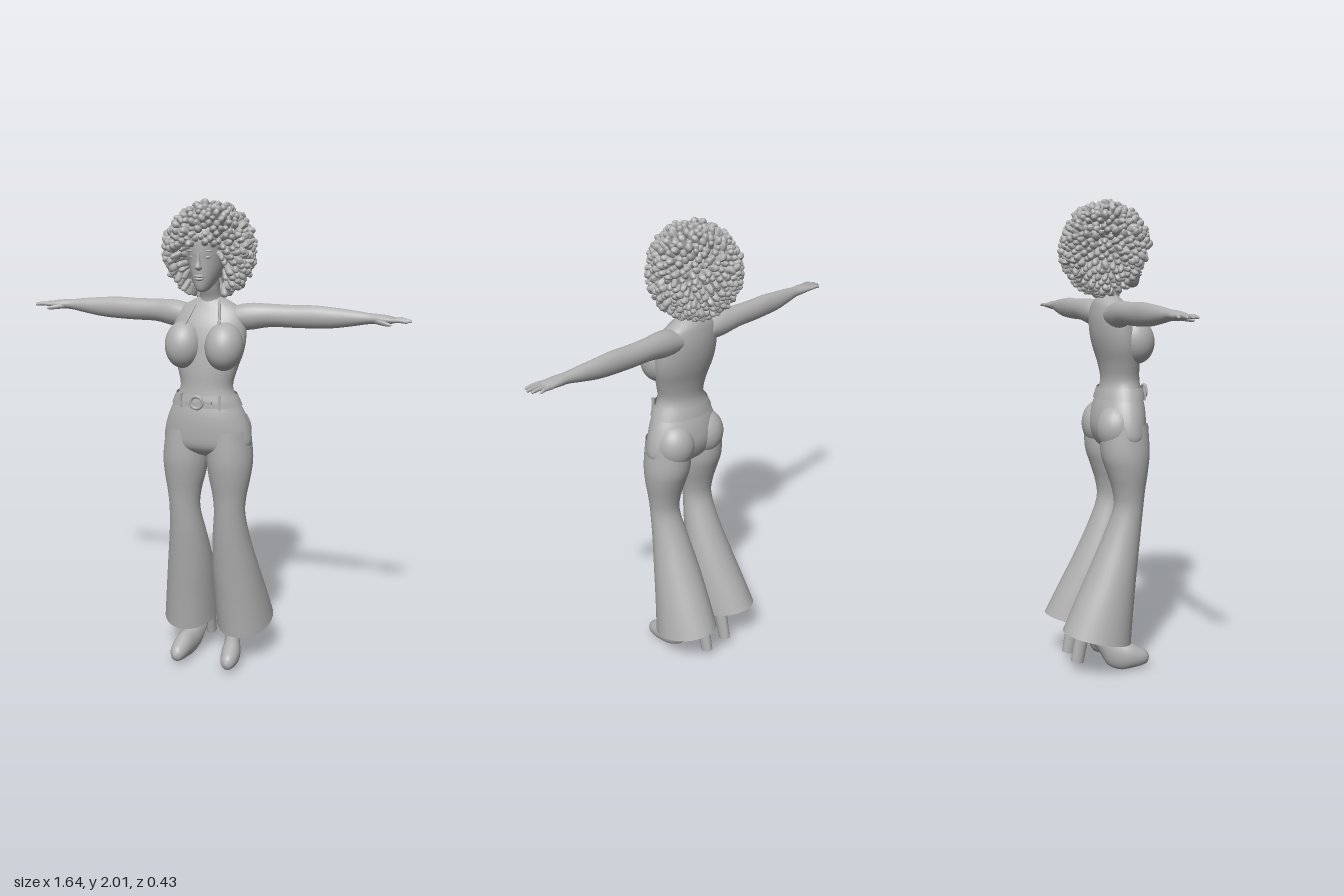
import * as THREE from 'three';
import { mergeGeometries } from 'three/addons/utils/BufferGeometryUtils.js';

// Smooth skin over elliptical sections; each section is [centre, u axis, v axis].
function loft(sections, sides = 28, perSpan = 4) {
  const curves = [0, 1, 2].map(k => new THREE.CatmullRomCurve3(
    sections.map(s => new THREE.Vector3(...s[k])), false, 'catmullrom', 0.5));
  const steps = (sections.length - 1) * perSpan;
  const pos = [], idx = [];
  for (let i = 0; i <= steps; i++) {
    const [c, u, v] = curves.map(k => k.getPoint(i / steps));
    for (let j = 0; j < sides; j++) {
      const a = j / sides * Math.PI * 2;
      const p = c.clone().addScaledVector(u, Math.cos(a)).addScaledVector(v, Math.sin(a));
      pos.push(p.x, p.y, p.z);
      if (i === steps) continue;
      const n = i * sides + (j + 1) % sides, q = i * sides + j;
      idx.push(q, q + sides, n, n, q + sides, n + sides);
    }
  }
  const g = new THREE.BufferGeometry();
  g.setAttribute('position', new THREE.Float32BufferAttribute(pos, 3));
  g.setIndex(idx);
  g.computeVertexNormals();
  return g;
}

// Section makers for lofts running up, sideways (+x) and forwards (+z)
const up = (y, cx, hx, zf, zb, tilt = 0) =>
  [[cx, y, (zf + zb) / 2], [hx, 0, 0], [0, -tilt, (zf - zb) / 2]];
const side = (x, y, z, ry, rz) => [[x, y, z], [0, 0, rz], [0, ry, 0]];
const fwd = (z, x, y, w, h) => [[x, y, z], [-w, 0, 0], [0, h, 0]];

const ball = (x, y, z, rx, ry, rz, n = 20) =>
  new THREE.SphereGeometry(1, n, Math.ceil(n * 0.7)).scale(rx, ry, rz).translate(x, y, z);

function mirrored(geo) {
  const g = geo.clone().scale(-1, 1, 1);
  const a = g.index.array;
  for (let i = 0; i < a.length; i += 3) [a[i], a[i + 1]] = [a[i + 1], a[i]];
  g.computeVertexNormals();
  return g;
}

// Rounded afro made of short bent curls, open in front of the face
function afro() {
  let seed = 7;
  const rnd = () => (seed = (seed * 16807) % 2147483647) / 2147483647;
  const curls = [], axis = new THREE.Vector3(0, 1, 0);
  const layers = [[560, 0.165], [240, 0.135]];
  for (const [count, r] of layers) {
    for (let i = 0; i < count; i++) {
      const h = 1 - 2 * (i + 0.5) / count, a = i * 2.39996, w = Math.sqrt(1 - h * h);
      const d = new THREE.Vector3(w * Math.cos(a), h, w * Math.sin(a));
      const p = d.clone().multiplyScalar(r + (rnd() - 0.5) * 0.014);
      p.y *= 1.04;
      p.add(new THREE.Vector3(-0.012, 1.803, 0.018));
      const tip = p.clone().addScaledVector(d, 0.02);
      if (tip.y < 1.845 && tip.z > 0.09 + (tip.y - 1.66) * 0.6) continue;
      if (tip.y < 1.83 && tip.z > 0.05 && Math.abs(tip.x) < 0.085) continue;
      const g = new THREE.CapsuleGeometry(0.011 + rnd() * 0.005, 0.032, 3, 7);
      const q = g.attributes.position, bend = 5 + rnd() * 7;
      for (let k = 0; k < q.count; k++) q.setX(k, q.getX(k) + bend * q.getY(k) ** 2);
      g.computeVertexNormals();
      g.rotateY(rnd() * 6.28);
      d.add(new THREE.Vector3(rnd() - 0.5, rnd() - 0.7, rnd() - 0.5).multiplyScalar(0.7)).normalize();
      g.applyQuaternion(new THREE.Quaternion().setFromUnitVectors(axis, d));
      curls.push(g.translate(p.x, p.y, p.z));
    }
  }
  return mergeGeometries(curls);
}

export function createModel() {
  const model = new THREE.Group();
  model.name = 'dancer';
  const grey = new THREE.MeshStandardMaterial({ color: 0xb0b0b0, side: THREE.DoubleSide });
  grey.name = 'plain grey';
  const add = (name, geo) => {
    const m = new THREE.Mesh(geo, grey);
    m.name = name;
    model.add(m);
  };
  const pair = (name, geo) => {
    add('left ' + name, geo);
    add('right ' + name, mirrored(geo));
  };

  // Torso and hips
  add('torso', loft([
    up(0.95, 0, 0.01, 0.08, 0.06), up(0.975, 0, 0.11, 0.14, 0.01), up(1.01, 0, 0.185, 0.178, -0.02),
    up(1.07, 0, 0.187, 0.187, -0.036), up(1.14, 0, 0.165, 0.186, -0.026),
    up(1.2, 0, 0.136, 0.176, -0.005), up(1.26, 0, 0.112, 0.167, 0.01),
    up(1.33, 0, 0.128, 0.163, 0), up(1.4, 0, 0.15, 0.155, -0.02),
    up(1.46, 0, 0.157, 0.146, -0.032), up(1.52, 0, 0.152, 0.128, -0.035),
    up(1.57, 0, 0.132, 0.1, -0.028), up(1.598, 0, 0.088, 0.085, -0.018),
    up(1.62, 0, 0.045, 0.07, 0)], 36));
  pair('bust', ball(0, 0, 0, 0.078, 0.098, 0.082, 28).rotateX(-0.2).translate(0.087, 1.43, 0.122));
  pair('buttock', ball(0.088, 1.065, 0.035, 0.088, 0.1, 0.083, 24));
  pair('halter strap', new THREE.TubeGeometry(new THREE.CatmullRomCurve3([
    new THREE.Vector3(0.08, 1.49, 0.175), new THREE.Vector3(0.064, 1.55, 0.112),
    new THREE.Vector3(0.048, 1.6, 0.07), new THREE.Vector3(0.03, 1.635, 0.0)]), 16, 0.006, 6));

  // Belt with ring buckle
  add('belt', loft([up(1.182, 0, 0.151, 0.188, -0.019), up(1.206, 0, 0.141, 0.187, -0.013),
    up(1.232, 0, 0.129, 0.182, -0.005)], 36));
  add('buckle', new THREE.TorusGeometry(0.025, 0.007, 8, 24).translate(-0.004, 1.208, 0.2));
  add('buckle prong', new THREE.BoxGeometry(0.06, 0.01, 0.01).translate(0.03, 1.208, 0.196));
  pair('belt loop', new THREE.BoxGeometry(0.012, 0.06, 0.012).rotateY(0.35).translate(0.085, 1.207, 0.167));

  // Flared trouser legs, hem lower in front
  pair('trouser leg', loft([
    up(0.172, 0.126, 0.124, 0.085, -0.212, 0.038), up(0.3, 0.116, 0.114, 0.1, -0.155, 0.025),
    up(0.45, 0.105, 0.1, 0.12, -0.085, 0.012), up(0.6, 0.1, 0.08, 0.14, -0.02),
    up(0.72, 0.102, 0.067, 0.152, 0.025), up(0.8, 0.102, 0.074, 0.16, 0.02),
    up(0.88, 0.1, 0.09, 0.172, -0.005), up(0.96, 0.098, 0.097, 0.18, -0.03),
    up(1.08, 0.095, 0.085, 0.175, -0.035)], 36));

  // Lower legs and platform shoes, toes turned out
  pair('ankle', loft([up(0.13, 0.075, 0.028, -0.01, -0.075), up(0.22, 0.074, 0.026, -0.02, -0.085),
    up(0.36, 0.085, 0.04, 0.03, -0.06), up(0.55, 0.1, 0.045, 0.1, 0.0)], 16));
  pair('shoe', loft([
    fwd(-0.125, 0.06, 0.19, 0.004, 0.008), fwd(-0.11, 0.061, 0.19, 0.024, 0.03),
    fwd(-0.07, 0.066, 0.172, 0.029, 0.043), fwd(-0.03, 0.076, 0.125, 0.032, 0.05),
    fwd(0.0, 0.087, 0.09, 0.034, 0.068), fwd(0.045, 0.102, 0.065, 0.039, 0.065),
    fwd(0.09, 0.112, 0.06, 0.042, 0.058), fwd(0.14, 0.117, 0.052, 0.037, 0.042),
    fwd(0.17, 0.118, 0.047, 0.024, 0.028), fwd(0.182, 0.118, 0.045, 0.004, 0.006)], 24));
  pair('heel', new THREE.CylinderGeometry(0.03, 0.027, 0.16, 18)
    .scale(0.85, 1, 1.05).rotateX(0.2).translate(0.06, 0.122, -0.115));

  // Arms held straight out
  pair('arm', loft([
    side(0.08, 1.535, 0.03, 0.045, 0.05), side(0.16, 1.543, 0.024, 0.055, 0.05),
    side(0.25, 1.55, 0.014, 0.047, 0.042), side(0.35, 1.55, 0.012, 0.046, 0.038),
    side(0.43, 1.552, 0.012, 0.046, 0.035), side(0.51, 1.552, 0.012, 0.041, 0.032),
    side(0.59, 1.555, 0.015, 0.031, 0.028), side(0.65, 1.557, 0.018, 0.022, 0.024),
    side(0.7, 1.557, 0.021, 0.019, 0.031), side(0.745, 1.556, 0.022, 0.013, 0.033),
    side(0.762, 1.555, 0.022, 0.004, 0.028)], 20));
  const tips = [0.795, 0.815, 0.82, 0.81];
  tips.forEach((tip, i) => {
    const z = -0.004 + i * 0.0175, spread = (i - 1.5) * 0.004;
    pair('finger ' + (i + 1), loft([
      side(0.735, 1.556, z, 0.009, 0.009), side(0.77, 1.558, z + spread * 0.5, 0.008, 0.008),
      side(tip - 0.008, 1.555, z + spread, 0.006, 0.006), side(tip, 1.554, z + spread, 0.001, 0.001)], 10));
  });
  pair('thumb', loft([side(0.675, 1.552, 0.032, 0.012, 0.012), side(0.71, 1.547, 0.054, 0.01, 0.01),
    side(0.738, 1.543, 0.066, 0.007, 0.007), side(0.748, 1.542, 0.069, 0.001, 0.001)], 10));

  // Neck and head
  add('neck', loft([up(1.55, 0, 0.06, 0.085, -0.015), up(1.61, 0, 0.045, 0.082, -0.005),
    up(1.66, 0, 0.042, 0.1, 0.01), up(1.74, 0, 0.045, 0.12, 0.02)], 20));
  add('head', loft([
    up(1.648, 0, 0.004, 0.15, 0.135), up(1.656, 0, 0.024, 0.167, 0.1), up(1.685, 0, 0.044, 0.176, 0.04),
    up(1.73, 0, 0.062, 0.179, 0), up(1.775, 0, 0.07, 0.181, -0.02), up(1.82, 0, 0.073, 0.184, -0.03),
    up(1.88, 0, 0.07, 0.175, -0.03), up(1.94, 0, 0.03, 0.11, 0.02)], 28));
  add('nose', loft([up(1.735, 0, 0.006, 0.182, 0.16), up(1.747, 0, 0.015, 0.2, 0.16),
    up(1.77, 0, 0.009, 0.193, 0.16), up(1.81, 0, 0.006, 0.186, 0.16)], 14));
  add('upper lip', ball(0, 1.713, 0.175, 0.022, 0.006, 0.012, 14));
  add('lower lip', ball(0, 1.702, 0.174, 0.019, 0.007, 0.012, 14));
  pair('eye', ball(0.029, 1.787, 0.162, 0.015, 0.008, 0.012, 14));
  pair('eyebrow', ball(0.031, 1.811, 0.163, 0.02, 0.005, 0.012, 14));

  // Hair
  add('hair base', ball(-0.01, 1.828, 0.0, 0.148, 0.14, 0.14, 24));
  add('hair curls', afro());
  return model;
}
